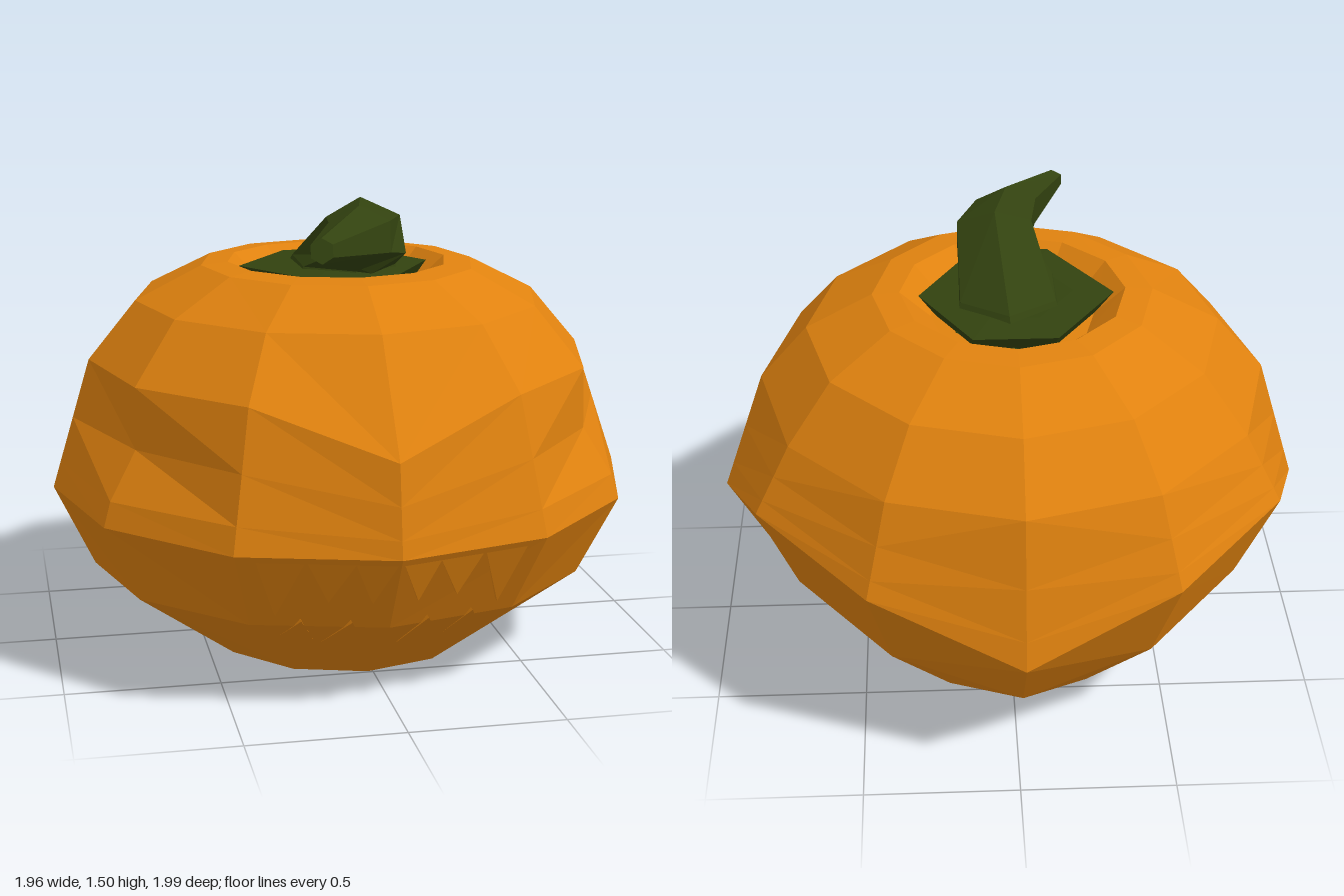
import * as THREE from 'three';

const V = (x, y, z) => new THREE.Vector3(x, y, z);

// Non-indexed geometry from a flat list of corner points
function facets(points) {
  const g = new THREE.BufferGeometry().setFromPoints(points);
  g.computeVertexNormals();
  return g;
}

// Joins closed rings of points and caps both ends
function loft(rings) {
  const out = [], n = rings[0].length;
  for (let s = 0; s < rings.length - 1; s++) {
    for (let k = 0; k < n; k++) {
      const j = (k + 1) % n;
      const a = rings[s][k], b = rings[s][j], c = rings[s + 1][j], d = rings[s + 1][k];
      // mirror the diagonals about the middle
      if (k < n / 2) out.push(a, b, c, a, c, d);
      else out.push(a, b, d, b, c, d);
    }
  }
  const cap = (ring, flip) => {
    const m = V(0, 0, 0);
    ring.forEach(p => m.addScaledVector(p, 1 / n));
    ring.forEach((p, k) => {
      const q = ring[(k + 1) % n];
      out.push(m, flip ? q : p, flip ? p : q);
    });
  };
  cap(rings[0], true);
  cap(rings[rings.length - 1], false);
  return facets(out);
}

// Twelve-point ring, starting at the front and turning towards +x
function bodyRing(y, rx, rz, cz, edit = {}) {
  return Array.from({ length: 12 }, (_, k) => {
    const t = k * Math.PI / 6, e = edit[Math.min(k, 12 - k)] || {};
    return V(-0.018 + rx * Math.sin(t), e.y ?? y, e.z ?? cz + rz * Math.cos(t));
  });
}

// Front surface of the shell below its widest ring
function frontZ(x, y) {
  const side = 0.28 * Math.abs(x + 0.018);
  const z = y > 0.27 ? 0.82 + (y - 0.27) / 0.27 * 0.17 : 0.495 + y / 0.27 * 0.325;
  return z - side;
}

// Pointed tooth standing slightly proud of the shell
function tooth(x, w, baseY, tipX, tipY, out) {
  const p = (px, py, o) => V(px, py, frontZ(px, py) + o);
  const l = p(x - w, baseY, 0.004), r = p(x + w, baseY, 0.004);
  const tip = p(tipX, tipY, out), back = p(tipX, tipY, -0.02);
  return tipY < baseY
    ? [l, tip, r, l, back, tip, r, tip, back]
    : [l, r, tip, l, tip, back, r, back, tip];
}

export function createModel() {
  const model = new THREE.Group();
  model.name = 'carvedPumpkin';
  const orange = new THREE.MeshStandardMaterial({ color: 0xe0820f, flatShading: true });
  orange.name = 'pumpkin orange';
  const green = new THREE.MeshStandardMaterial({ color: 0x32420f, flatShading: true });
  green.name = 'stem green';
  const add = (name, geo, mat) => {
    const m = new THREE.Mesh(geo, mat);
    m.name = name;
    model.add(m);
    return m;
  };

  // Shell: wavy rings at the back, dipped crown at the top
  const wide = bodyRing(0.54, 0.97, 0.995, -0.005, { 4: { y: 0.75 }, 5: { y: 0.67 }, 6: { y: 0.48 } });
  wide[3].x = 0.97;
  const upper = bodyRing(0.97, 0.84, 0.885, -0.01, { 0: { y: 0.825, z: 0.945 } });
  // Extra rings carry the eye hollows on the two front corners
  const between = (t, push, y) => wide.map((p, k) => {
    const q = p.clone().lerp(upper[k], t);
    if (k === 2 || k === 10) {
      q.x *= push;
      q.z *= push;
      q.y = y;
    }
    return q;
  });
  add('shell', loft([
    bodyRing(0, 0.467, 0.512, -0.018),
    bodyRing(0.27, 0.84, 0.81, 0.01, { 4: { y: 0.40 }, 5: { y: 0.31 }, 6: { y: 0.21 } }),
    wide,
    between(0.2, 1.0, 0.62),
    between(0.55, 0.94, 0.77),
    upper,
    bodyRing(1.16, 0.68, 0.715, -0.025),
    bodyRing(1.272, 0.46, 0.495, -0.015),
    bodyRing(1.28, 0.37, 0.39, -0.02),
    bodyRing(1.19, 0.27, 0.28, -0.02),
  ]), orange);

  // Mouth: upper teeth point down, lower teeth point up
  const upperTeeth = [], lowerTeeth = [];
  for (const [x, w, tip] of [[0.07, 0.06, 0.38], [0.2, 0.07, 0.38], [0.35, 0.07, 0.32]]) {
    for (const s of [-1, 1]) {
      upperTeeth.push(...tooth(-0.018 + s * x, w, 0.52, -0.018 + s * x, tip, 0.03));
    }
  }
  for (const x of [0.12, 0.27]) {
    for (const s of [-1, 1]) {
      lowerTeeth.push(...tooth(-0.018 + s * x, 0.07, 0.17, -0.018 + s * x, 0.3, 0.03));
    }
  }
  add('upperTeeth', facets(upperTeeth), orange);
  add('lowerTeeth', facets(lowerTeeth), orange);

  // Collar: six flared points resting in the crown
  const star = [[0.1, 0.31], [0.29, -0.02], [0.12, -0.32], [-0.15, -0.32], [-0.35, -0.02], [-0.15, 0.3]];
  const collarRing = (s, y) => star.map(([x, z]) => V(-0.02 + (x + 0.02) * s, y, z * s));
  add('collar', loft([collarRing(0.75, 1.16), collarRing(1, 1.265), collarRing(0.6, 1.27)]), green);

  // Stem: six-sided sections leaning forward, [x, y, z, pitch, half width, half depth]
  const sections = [
    [-0.01, 1.2, -0.02, 90, 0.2, 0.24],
    [0, 1.28, 0, 88, 0.17, 0.19],
    [0.035, 1.39, 0.2, 40, 0.135, 0.13],
    [-0.01, 1.4, 0.32, 10, 0.11, 0.09],
    [-0.18, 1.4, 0.57, 10, 0.038, 0.036],
  ];
  add('stem', loft(sections.map(([x, y, z, pitch, w, d]) => {
    const p = pitch * Math.PI / 180;
    return Array.from({ length: 6 }, (_, k) => {
      const a = (k + 0.5) * Math.PI / 3, v = d * Math.sin(a) * 1.12;
      return V(x + w * Math.cos(a) * 1.05, y + v * Math.cos(p), z - v * Math.sin(p));
    });
  })), green);

  return model;
}
